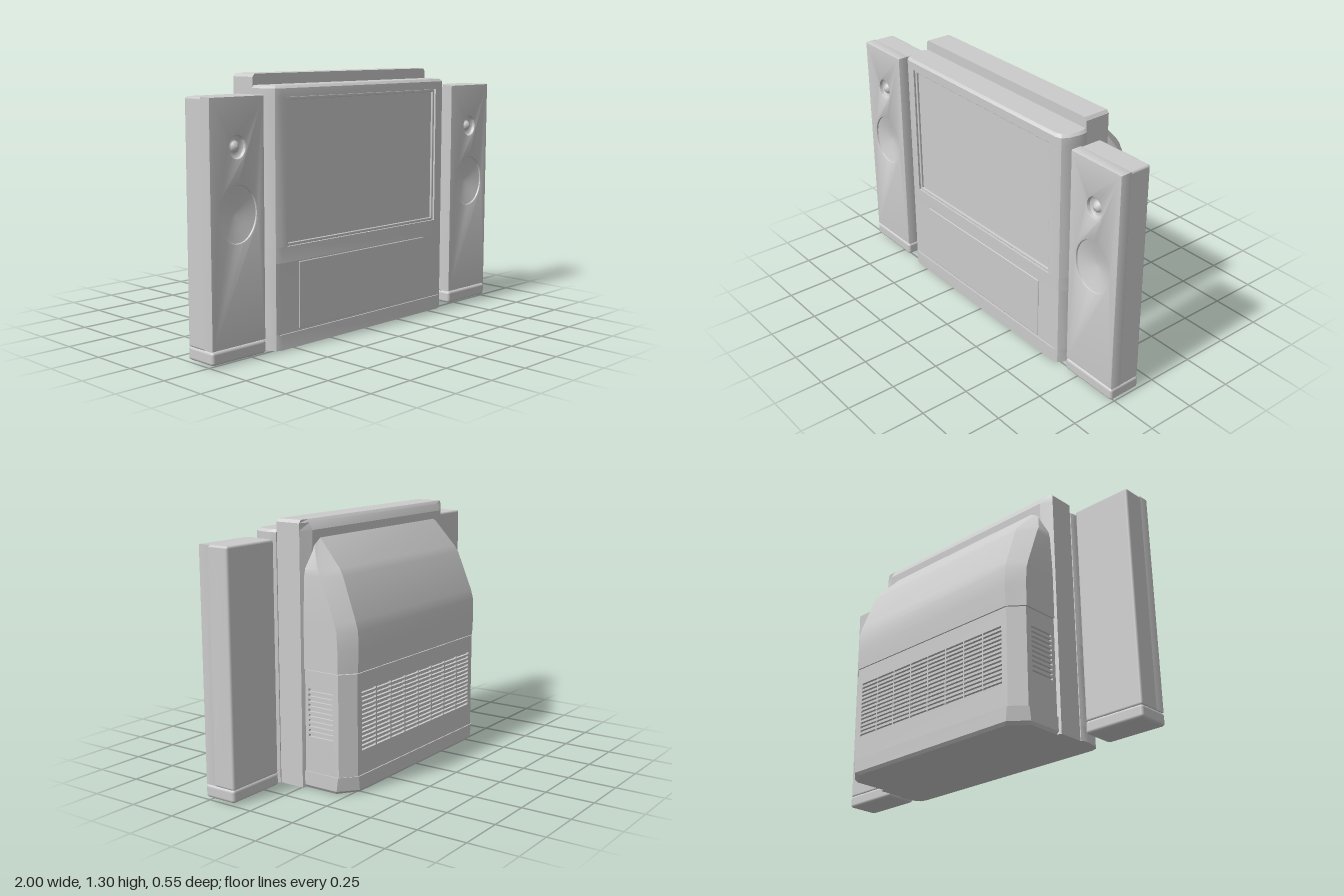
import * as THREE from 'three';
import { toCreasedNormals } from 'three/addons/utils/BufferGeometryUtils.js';
import { RoundedBoxGeometry } from 'three/addons/geometries/RoundedBoxGeometry.js';

const grey = new THREE.MeshStandardMaterial({ color: 0xcccccc });
const greyDouble = new THREE.MeshStandardMaterial({ color: 0xcccccc, side: THREE.DoubleSide });

function add(parent, name, geometry, x = 0, y = 0, z = 0, material = grey) {
  const mesh = new THREE.Mesh(geometry, material);
  mesh.name = name;
  mesh.position.set(x, y, z);
  parent.add(mesh);
  return mesh;
}

// Rounded box given by its limits
function block(parent, name, [x0, x1], [y0, y1], [z0, z1], r = 0.008) {
  return add(parent, name, new RoundedBoxGeometry(x1 - x0, y1 - y0, z1 - z0, 2, r),
    (x0 + x1) / 2, (y0 + y1) / 2, (z0 + z1) / 2);
}

// Prism standing on a plan outline of [x, z] points
function plan(points, y0, y1) {
  const shape = new THREE.Shape(points.map(([x, z]) => new THREE.Vector2(x, -z)));
  const g = new THREE.ExtrudeGeometry(shape, { depth: y1 - y0, bevelEnabled: false });
  g.rotateX(-Math.PI / 2);
  g.translate(0, y0, 0);
  return toCreasedNormals(g, 0.5);
}

const mirrored = (half) => [...half, ...half.map(([x, z]) => [-x, z]).reverse()];

// Closed loft through symmetric horizontal sections: [y, half outline from front to back]
function loft(sections, crease = 0.45) {
  const rings = sections.map(([y, half]) => mirrored(half).map(([x, z]) => [x, y, z]));
  const n = rings[0].length, top = rings[rings.length - 1], pos = [];
  const tri = (...corners) => corners.forEach((c) => pos.push(...c));
  for (let k = 0; k < rings.length - 1; k++) {
    for (let i = 0; i < n; i++) {
      const j = (i + 1) % n, lo = rings[k], up = rings[k + 1];
      tri(lo[i], lo[j], up[j]);
      tri(lo[i], up[j], up[i]);
    }
  }
  for (let i = 1; i < n - 1; i++) {
    tri(top[0], top[i], top[i + 1]);
    tri(rings[0][0], rings[0][i + 1], rings[0][i]);
  }
  const g = new THREE.BufferGeometry();
  g.setAttribute('position', new THREE.Float32BufferAttribute(pos, 3));
  return toCreasedNormals(g, crease);
}

function rect(Type, x0, x1, y0, y1) {
  const s = new Type();
  s.moveTo(x0, y0).lineTo(x1, y0).lineTo(x1, y1).lineTo(x0, y1).closePath();
  return s;
}

// Panel facing +z with a grid of horizontal cooling slots
function slottedPanel(w, y0, y1, depth, vent, rows, cols) {
  const shape = rect(THREE.Shape, -w / 2, w / 2, y0, y1);
  const pitchX = (vent.x1 - vent.x0) / cols, pitchY = (vent.y1 - vent.y0) / rows;
  for (let r = 0; r < rows; r++) {
    for (let c = 0; c < cols; c++) {
      const x = vent.x0 + c * pitchX, y = vent.y0 + r * pitchY;
      shape.holes.push(rect(THREE.Path, x + 0.003, x + pitchX - 0.003, y + pitchY * 0.25, y + pitchY * 0.75));
    }
  }
  return new THREE.ExtrudeGeometry(shape, { depth, bevelEnabled: false });
}

function createSpeaker(side) {
  const g = new THREE.Group();
  g.name = side > 0 ? 'leftSpeaker' : 'rightSpeaker';
  block(g, 'speakerBase', [-0.162, 0.162], [0.01, 0.075], [0.098, 0.275], 0.015);
  block(g, 'speakerCabinet', [-0.16, 0.16], [0.07, 1.21], [0.1, 0.225], 0.012);
  // Front baffle with openings for the two drivers
  const drivers = [['tweeter', 0.985, 0.055, 0.06], ['woofer', 0.68, 0.118, 0.14]];
  const face = rect(THREE.Shape, -0.152, 0.152, 0.083, 1.202);
  for (const [, y, rx, ry] of drivers) {
    const hole = new THREE.Path();
    hole.absellipse(0, y, rx, ry, 0, Math.PI * 2);
    face.holes.push(hole);
  }
  const baffle = new THREE.ExtrudeGeometry(face, {
    depth: 0.05, bevelThickness: 0.008, bevelSize: 0.008, bevelSegments: 2, curveSegments: 20 });
  add(g, 'speakerBaffle', toCreasedNormals(baffle, 0.6), 0, 0, 0.215);
  for (const [name, y, rx, ry] of drivers) {
    const dome = name === 'tweeter';
    const profile = dome
      ? [[1, 0], [0.85, -0.012], [0.5, -0.022], [0.42, -0.01], [0.25, 0], [0, 0.004]]
      : [[1, 0], [0.92, -0.004], [0.5, -0.018], [0.2, -0.026], [0, -0.028]];
    const cone = new THREE.LatheGeometry(profile.map(([r, h]) => new THREE.Vector2(r, h)), 40);
    cone.rotateX(Math.PI / 2);
    cone.scale(rx, ry, 1);
    add(g, name, cone, 0, y, 0.267, greyDouble);
  }
  g.position.x = side * 0.838;
  return g;
}

function createFront() {
  const g = new THREE.Group();
  g.name = 'frontHousing';
  // Curved right-hand edge of the housing, front to back
  const edge = [[0.575, 0.275], [0.605, 0.265], [0.622, 0.235], [0.633, 0.18], [0.633, 0.15], [0.625, 0.13]];
  const full = mirrored(edge);
  const recessed = mirrored([[0.575, 0.268], ...edge.slice(1)]);
  add(g, 'frontPlinth', plan(full, 0, 0.075));
  add(g, 'lowerFront', plan(recessed, 0.075, 0.42));
  add(g, 'lowerRail', plan(full, 0.42, 0.495));
  add(g, 'upperRail', loft([[1.195, edge], [1.235, edge],
    [1.248, edge.map(([x, z]) => [x - 0.012, z > 0.2 ? z - 0.012 : z])]]));
  block(g, 'lowerDoor', [-0.46, 0.46], [0.085, 0.412], [0.25, 0.272], 0.004);
  for (const s of [-1, 1]) {
    const post = [[0.54, 0.13], [0.54, 0.275], ...edge].map(([x, z]) => [s * x, z]);
    add(g, 'sidePost', plan(post, 0.495, 1.195));
    block(g, 'screenTrimSide', [s * 0.533 - 0.007, s * 0.533 + 0.007], [0.495, 1.195], [0.22, 0.266], 0.003);
  }
  for (const y of [0.502, 1.188]) {
    block(g, 'screenTrim', [-0.54, 0.54], [y - 0.007, y + 0.007], [0.22, 0.266], 0.003);
  }
  add(g, 'screen', new THREE.BoxGeometry(1.08, 0.7, 0.12), 0, 0.845, 0.195);
  return g;
}

function createRear() {
  const g = new THREE.Group();
  g.name = 'rearHousing';
  // Upright middle cabinet, bevelled towards the back
  const mid = (inset, back) => [[0.62 - inset, 0.13], [0.62 - inset, -0.005], [0.56 - inset, back]];
  add(g, 'middleCabinet', loft([[0, mid(0, -0.025)], [1.25, mid(0, -0.035)],
    [1.285, mid(0, -0.018)], [1.3, mid(0.012, -0.004)]]));
  // Sloping hood over the projector
  const hull = (xs, zs, xb, zb) => [[xs, 0.01], [xs, zs], [xb, zb]];
  add(g, 'rearHood', loft([
    [0.592, hull(0.606, -0.21, 0.53, -0.272)],
    [0.7, hull(0.606, -0.21, 0.53, -0.277)],
    [0.79, hull(0.606, -0.205, 0.53, -0.274)],
    [0.84, hull(0.606, -0.19, 0.53, -0.26)],
    [1.04, hull(0.6, -0.11, 0.52, -0.182)],
    [1.075, hull(0.595, -0.09, 0.515, -0.16)],
    [1.215, hull(0.53, -0.015, 0.5, -0.03)],
  ]));
  // Lower body: inner core, corner strips and vented panels
  add(g, 'lowerCore', plan(mirrored(hull(0.588, -0.205, 0.525, -0.255)), 0.08, 0.595));
  for (const s of [-1, 1]) {
    const corner = [[0.602, -0.2], [0.602, -0.21], [0.53, -0.27], [0.515, -0.27], [0.515, -0.25], [0.58, -0.2]];
    add(g, 'rearCorner', plan(corner.map(([x, z]) => [s * x, z]), 0.08, 0.588));
    const vent = { x0: -0.075, x1: 0.075, y0: 0.255, y1: 0.505 };
    const panel = add(g, 'sideVentPanel', slottedPanel(0.2, 0.08, 0.588, 0.014, vent, 10, 1), s * 0.588, 0, -0.105);
    panel.rotation.y = s * Math.PI / 2;
  }
  const vent = { x0: -0.5, x1: 0.5, y0: 0.2, y1: 0.505 };
  const back = add(g, 'backVentPanel', slottedPanel(1.05, 0.08, 0.588, 0.015, vent, 14, 8), 0, 0, -0.255);
  back.rotation.y = Math.PI;
  // Plinth with a softened bottom edge
  add(g, 'rearPlinth', loft([
    [0, hull(0.597, -0.19, 0.5, -0.262)],
    [0.015, hull(0.607, -0.2, 0.52, -0.274)],
    [0.085, hull(0.607, -0.21, 0.53, -0.276)],
  ]));
  return g;
}

export function createModel() {
  const model = new THREE.Group();
  model.name = 'projectionTelevisionWithSpeakers';
  model.add(createFront(), createRear(), createSpeaker(1), createSpeaker(-1));
  return model;
}
